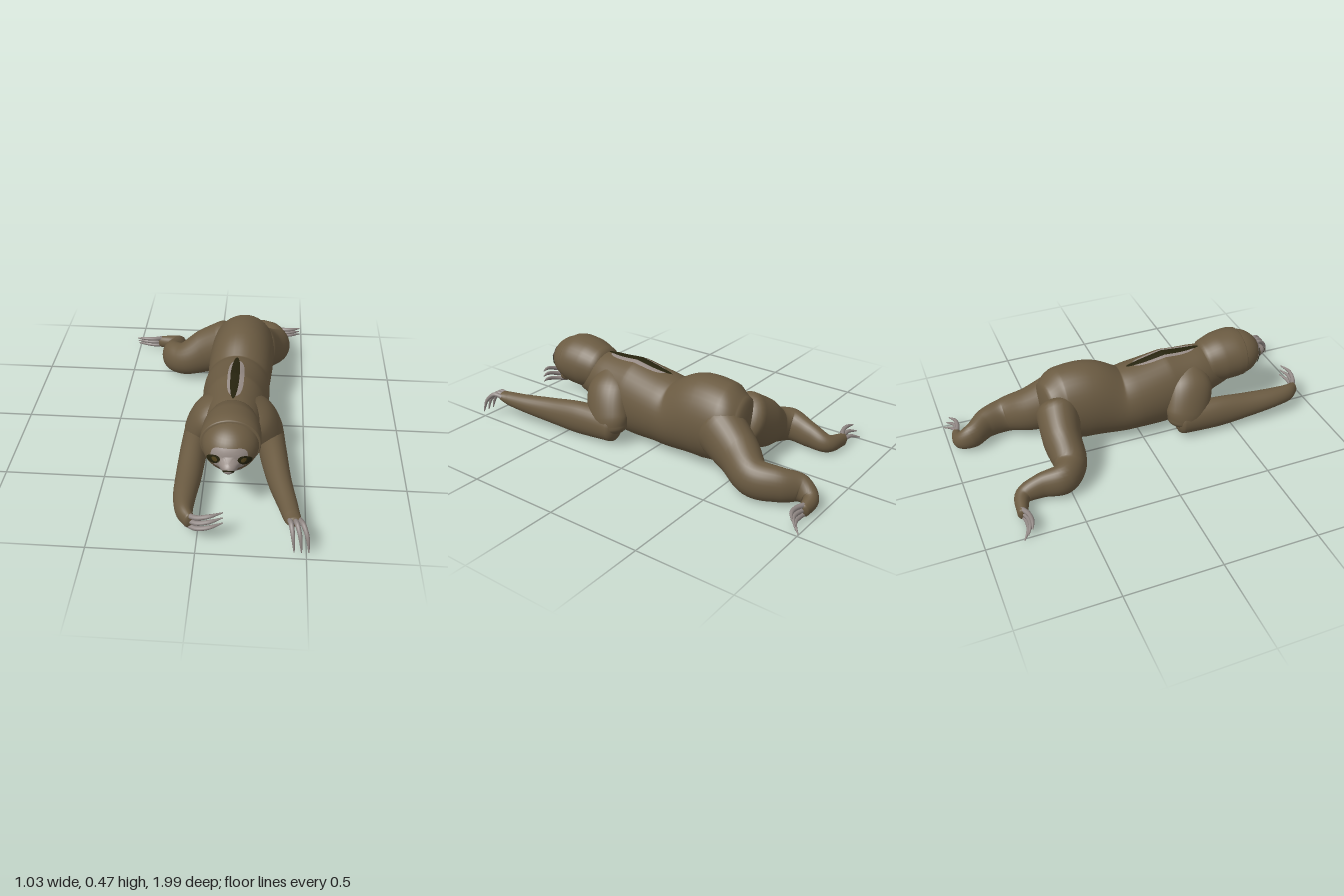
import * as THREE from 'three';

const mat = (name, color, side = THREE.FrontSide) => {
  const m = new THREE.MeshStandardMaterial({ color, side });
  m.name = name;
  return m;
};

// Smooth tube through keys [x, y, z, halfWidth, halfHeight] with rounded ends.
function loft(keys, { ref = [0, 1, 0], caps = [0.6, 0.6], steps = 8, sides = 28 } = {}) {
  const path = new THREE.CatmullRomCurve3(keys.map(k => new THREE.Vector3(k[0], k[1], k[2])));
  const radii = new THREE.CatmullRomCurve3(keys.map(k => new THREE.Vector3(k[3], k[4], 0)));
  const up0 = new THREE.Vector3(...ref), n = (keys.length - 1) * steps, rows = [], capN = 6;
  const row = (t, angle, dir, depth) => {
    const c = path.getPoint(t), T = path.getTangent(t), r = radii.getPoint(t);
    const side = T.clone().cross(up0).normalize(), up = side.clone().cross(T);
    c.addScaledVector(T, dir * depth * Math.min(r.x, r.y) * Math.sin(angle));
    const k = Math.max(Math.cos(angle), 0.001);
    rows.push({ c, side, up, w: r.x * k, h: r.y * k });
  };
  for (let i = capN; i > 0; i--) row(0, i / capN * Math.PI / 2, -1, caps[0]);
  for (let i = 0; i <= n; i++) row(i / n, 0, 0, 0);
  for (let i = 1; i <= capN; i++) row(1, i / capN * Math.PI / 2, 1, caps[1]);
  const pos = [], idx = [];
  rows.forEach((r, i) => {
    for (let j = 0; j < sides; j++) {
      const a = j / sides * Math.PI * 2;
      const p = r.c.clone().addScaledVector(r.side, r.w * Math.cos(a)).addScaledVector(r.up, r.h * Math.sin(a));
      pos.push(p.x, p.y, p.z);
      if (i === rows.length - 1) continue;
      const A = i * sides + j, B = i * sides + (j + 1) % sides;
      idx.push(A, A + sides, B, B, A + sides, B + sides);
    }
  });
  return finish(pos, idx);
}

function finish(pos, idx) {
  const g = new THREE.BufferGeometry();
  g.setAttribute('position', new THREE.Float32BufferAttribute(pos, 3));
  g.setIndex(idx);
  g.computeVertexNormals();
  return g;
}

const ellipsoid = (c, r) => new THREE.SphereGeometry(1, 36, 24).scale(...r).translate(...c);

// Thin rounded patch laid on target meshes; power < 1 makes it squarer.
function drape(targets, axis, [cu, cv], [ru, rv], { rot = 0, lift = 0.004, power = 1 } = {}) {
  const rings = 8, seg = 36, pos = [], idx = [];
  const dir = axis === 'z' ? new THREE.Vector3(0, 0, -1) : new THREE.Vector3(0, -1, 0);
  const ray = new THREE.Raycaster();
  const sp = v => Math.sign(v) * Math.pow(Math.abs(v), power);
  let depth = 0;
  for (let i = 0; i <= rings; i++) for (let j = 0; j < seg; j++) {
    const a = j / seg * Math.PI * 2, k = Math.max(i / rings, 0.001);
    const u = ru * k * sp(Math.cos(a)), v = rv * k * sp(Math.sin(a));
    const x = cu + u * Math.cos(rot) - v * Math.sin(rot), y = cv + u * Math.sin(rot) + v * Math.cos(rot);
    ray.set(axis === 'z' ? new THREE.Vector3(x, y, 2) : new THREE.Vector3(x, 2, y), dir);
    const hit = ray.intersectObjects(targets, false)[0];
    if (hit) depth = hit.point[axis];
    if (axis === 'z') pos.push(x, y, depth + lift);
    else pos.push(x, depth + lift, y);
    if (i === rings) continue;
    const A = i * seg + j, B = i * seg + (j + 1) % seg;
    if (axis === 'z') idx.push(A, A + seg, B, B, A + seg, B + seg);
    else idx.push(A, B, A + seg, B, B + seg, A + seg);
  }
  return finish(pos, idx);
}

export function createModel() {
  const fur = mat('brown fur', 0x6b5b42);
  const pale = mat('pale fur', 0x978c86, THREE.DoubleSide);
  const dark = mat('dark fur', 0x26230e, THREE.DoubleSide);
  const claw = mat('claw grey', 0x8f8683);
  const iris = mat('eye brown', 0x54451f, THREE.DoubleSide);
  const root = new THREE.Group();
  root.name = 'sloth';
  const add = (name, geo, m, parent = root) => {
    const mesh = new THREE.Mesh(geo, m);
    mesh.name = name;
    parent.add(mesh);
    return mesh;
  };

  // Torso
  const torso = add('torso', loft([
    [0.135, 0.29, 0.50, 0.10, 0.12], [0.135, 0.275, 0.36, 0.14, 0.155],
    [0.135, 0.23, 0.20, 0.165, 0.21], [0.135, 0.212, 0.0, 0.175, 0.192],
    [0.14, 0.205, -0.1, 0.17, 0.185], [0.15, 0.247, -0.28, 0.175, 0.22],
    [0.155, 0.25, -0.42, 0.17, 0.205], [0.145, 0.25, -0.49, 0.13, 0.15]],
  { caps: [0.5, 0.25], sides: 40 }), fur);

  // Stripe along the back
  add('backStripeEdge', drape([torso], 'y', [0.137, 0.17], [0.042, 0.18], { power: 0.75 }), pale);
  add('backStripe', drape([torso], 'y', [0.133, 0.165], [0.023, 0.21], { lift: 0.007 }), dark);

  // Head with hood of fur, face and muzzle
  const head = new THREE.Group();
  head.name = 'head';
  root.add(head);
  add('hood', loft([
    [0.135, 0.325, 0.43, 0.122, 0.122], [0.135, 0.335, 0.50, 0.139, 0.137],
    [0.135, 0.342, 0.57, 0.144, 0.138], [0.135, 0.342, 0.615, 0.143, 0.130]],
  { caps: [0.5, 0.08], sides: 40 }), fur, head);
  const face = add('face', ellipsoid([0.135, 0.338, 0.60], [0.135, 0.125, 0.14]), fur, head);
  const muzzle = add('muzzle', ellipsoid([0.135, 0.315, 0.70], [0.05, 0.042, 0.085]), pale, head);
  const skin = [face, muzzle];
  add('faceMask', drape(skin, 'z', [0.135, 0.342], [0.085, 0.055], { power: 0.6 }), pale, head);
  add('chinMask', drape(skin, 'z', [0.135, 0.253], [0.078, 0.02], { power: 0.8 }), pale, head);
  for (const s of [-1, 1]) {
    add('eyePatch', drape(skin, 'z', [0.135 + s * 0.073, 0.332], [0.037, 0.022],
      { rot: -s * 0.6, lift: 0.007 }), dark, head);
    add('eye', drape(skin, 'z', [0.135 + s * 0.067, 0.338], [0.013, 0.013], { lift: 0.009 }), iris, head);
  }
  add('nose', drape(skin, 'z', [0.135, 0.303], [0.027, 0.019], { lift: 0.006, power: 0.8 }), dark, head);
  add('noseTip', drape(skin, 'z', [0.135, 0.307], [0.02, 0.01], { lift: 0.008 }), pale, head);

  // Front legs: mirrored upper arms, separately posed forearms
  const upper = [[0.08, 0.33, 0.30, 0.07, 0.09], [0.01, 0.26, 0.275, 0.085, 0.125],
    [-0.04, 0.15, 0.24, 0.078, 0.12], [-0.05, 0.10, 0.225, 0.07, 0.10]];
  const forearms = {
    right: [[-0.05, 0.11, 0.21, 0.072, 0.085], [-0.06, 0.11, 0.4, 0.067, 0.09],
      [-0.066, 0.112, 0.6, 0.062, 0.07], [-0.07, 0.118, 0.75, 0.053, 0.056],
      [-0.06, 0.118, 0.85, 0.04, 0.05], [-0.035, 0.115, 0.90, 0.026, 0.042]],
    left: [[0.32, 0.11, 0.21, 0.072, 0.085], [0.343, 0.11, 0.4, 0.067, 0.09],
      [0.375, 0.112, 0.6, 0.056, 0.07], [0.41, 0.12, 0.76, 0.046, 0.05],
      [0.43, 0.13, 0.86, 0.04, 0.037], [0.44, 0.14, 0.90, 0.036, 0.025]],
  };
  for (const side of ['right', 'left']) {
    const keys = side === 'right' ? upper : upper.map(([x, ...r]) => [0.27 - x, ...r]);
    add(side + 'UpperArm', loft(keys, { ref: [0, 0, 1] }), fur);
    add(side + 'Forearm', loft(forearms[side]), fur);
  }

  // Hind legs
  add('rightHindLeg', loft([
    [0.07, 0.25, -0.45, 0.115, 0.14], [-0.06, 0.18, -0.472, 0.1, 0.13], [-0.19, 0.12, -0.475, 0.085, 0.095],
    [-0.262, 0.105, -0.53, 0.068, 0.09], [-0.25, 0.085, -0.65, 0.05, 0.07],
    [-0.26, 0.06, -0.745, 0.042, 0.048], [-0.37, 0.047, -0.78, 0.026, 0.036]]), fur);
  add('leftHindLeg', loft([
    [0.22, 0.24, -0.40, 0.12, 0.15], [0.27, 0.17, -0.54, 0.105, 0.125], [0.34, 0.117, -0.67, 0.083, 0.1],
    [0.315, 0.108, -0.79, 0.065, 0.088], [0.258, 0.09, -0.88, 0.05, 0.072],
    [0.275, 0.065, -0.94, 0.04, 0.048], [0.35, 0.047, -0.95, 0.026, 0.036]]), fur);

  // Three curved claws on each paw
  const clawSet = (name, path) => {
    const set = new THREE.Group();
    set.name = name;
    root.add(set);
    const r = [0.013, 0.012, 0.01, 0.003];
    for (const i of [-1, 0, 1])
      add('claw', loft(path(i).map((p, k) => [...p, r[k], r[k]]), { steps: 5, sides: 10, caps: [0.5, 1] }), claw, set);
  };
  clawSet('rightHandClaws', i => [[-0.05, 0.108 + i * 0.03, 0.885], [0, 0.118 + i * 0.032, 0.92],
    [0.06, 0.135 + i * 0.033, 0.927], [0.118, 0.143 + i * 0.031, 0.905]]);
  clawSet('leftHandClaws', i => [[0.44 + i * 0.022, 0.143, 0.89], [0.452 + i * 0.027, 0.152, 0.93],
    [0.467 + i * 0.032, 0.115, 0.97], [0.476 + i * 0.033, 0.045, 0.993]]);
  clawSet('rightFootClaws', i => [[-0.36, 0.05 + i * 0.022, -0.78], [-0.41, 0.052 + i * 0.024, -0.765 + i * 0.006],
    [-0.465, 0.053 + i * 0.025, -0.768 + i * 0.012], [-0.512, 0.042 + i * 0.03, -0.79 + i * 0.022]].map(([x, y, z]) => [x, y, z]));
  clawSet('leftFootClaws', i => [[0.34, 0.05 + i * 0.022, -0.95], [0.39, 0.052 + i * 0.024, -0.94 + i * 0.006],
    [0.44, 0.053 + i * 0.025, -0.945 + i * 0.01], [0.485, 0.042 + i * 0.03, -0.978 + i * 0.018]]);

  return root;
}
